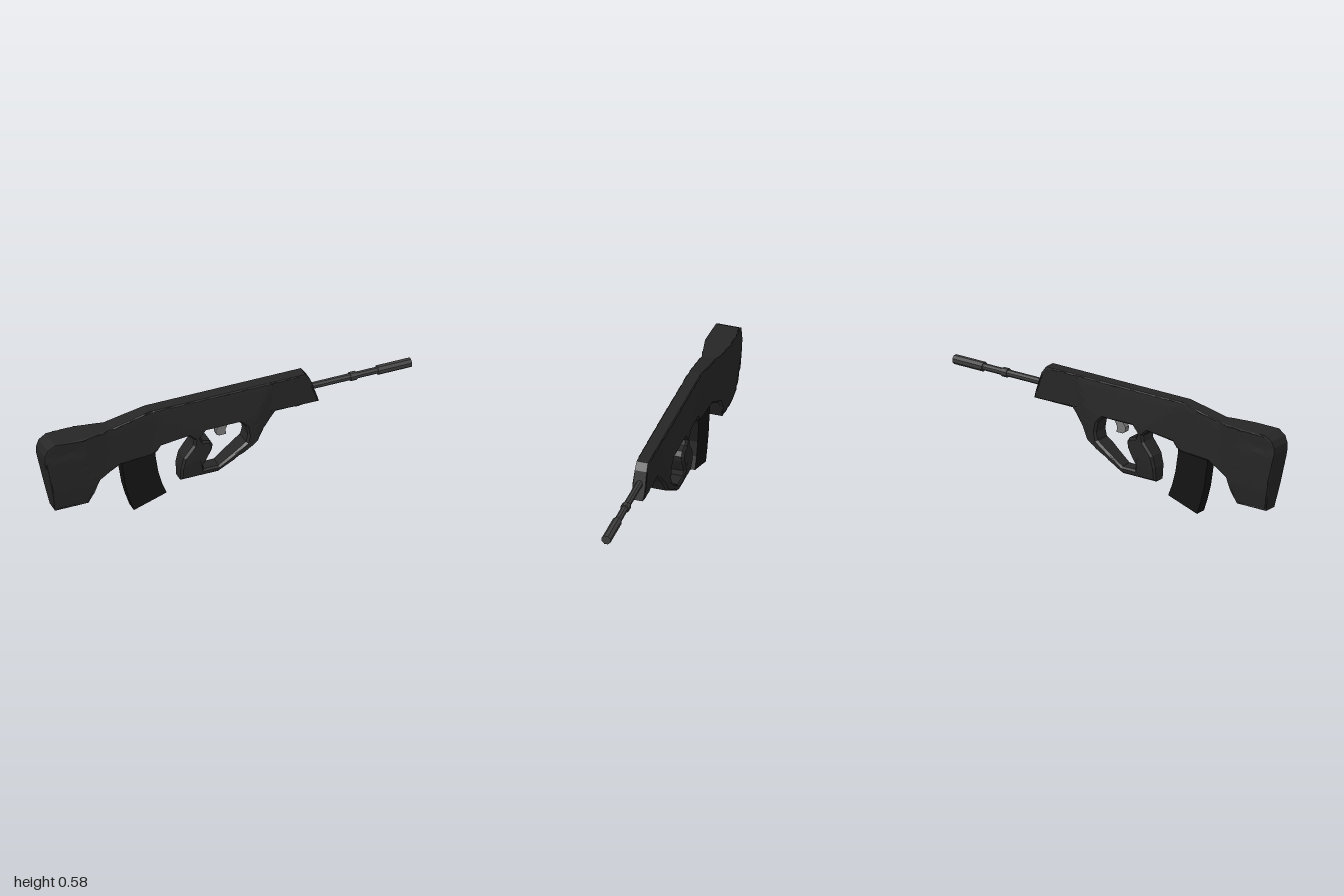
import * as THREE from 'three';

const mat = (color) => new THREE.MeshStandardMaterial({ color, flatShading: true, side: THREE.DoubleSide });
const V2 = (p) => new THREE.Vector2(p[0], p[1]);

// Piecewise linear lookup in [key, value] pairs
function lerpTable(table, t) {
  if (t <= table[0][0]) return table[0][1];
  for (let i = 1; i < table.length; i++) {
    const [a, va] = table[i - 1], [b, vb] = table[i];
    if (t <= b) return va + ((vb - va) * (t - a)) / (b - a);
  }
  return table[table.length - 1][1];
}

// Half thickness of the body along its length, and by height at the stock and in front of it
const ALONG = [[-0.8, 0.063], [-0.65, 0.041], [-0.4, 0.035], [-0.2, 0.051], [0.15, 0.051], [0.24, 0.031], [0.495, 0.033]];
const STOCK = [[0.115, 0.036], [0.225, 0.052], [0.425, 0.063], [0.46, 0.058], [0.53, 0.063]];
const FRONT = [[0.115, 0.036], [0.225, 0.052], [0.4, 0.051], [0.545, 0.036], [0.578, 0.031]];
const halfWidth = (x, y) => Math.min(lerpTable(ALONG, x), lerpTable(x < -0.65 ? STOCK : FRONT, y));

// Split every edge longer than the limit (measured in the xy plane) at its midpoint
function subdivide(geometry, limit) {
  const p = geometry.toNonIndexed().attributes.position, stack = [], out = [];
  const vert = (i) => new THREE.Vector3().fromBufferAttribute(p, i);
  for (let i = 0; i < p.count; i += 3) stack.push([vert(i), vert(i + 1), vert(i + 2)]);
  const length = (a, b) => Math.hypot(a.x - b.x, a.y - b.y);
  while (stack.length) {
    const t = stack.pop();
    const d = [0, 1, 2].map((i) => length(t[i], t[(i + 1) % 3]));
    const k = d.indexOf(Math.max(...d));
    if (d[k] <= limit) {
      t.forEach((v) => out.push(v.x, v.y, v.z));
      continue;
    }
    const a = t[k], b = t[(k + 1) % 3], c = t[(k + 2) % 3];
    const m = a.clone().add(b).multiplyScalar(0.5);
    stack.push([a, m, c], [m, b, c]);
  }
  const g = new THREE.BufferGeometry();
  g.setAttribute('position', new THREE.Float32BufferAttribute(out, 3));
  return g;
}

// Stock, grip and guard in one outline, shaped to the half thickness
function bodyGeometry() {
  const shape = new THREE.Shape([
    [-1, 0.435], [-0.935, 0.115], [-0.755, 0.115], [-0.69, 0.24], [-0.58, 0.3], [-0.41, 0.31], [-0.38, 0.325],
    [-0.36, 0.355], [-0.215, 0.378], [-0.185, 0.35], [-0.19, 0.315], [-0.24, 0.25], [-0.255, 0.19],
    [-0.255, 0.115], [-0.05, 0.115], [0.16, 0.25], [0.195, 0.315], [0.26, 0.395], [0.495, 0.395],
    [0.447, 0.54], [0.42, 0.578], [-0.425, 0.578], [-0.645, 0.53], [-0.945, 0.53], [-0.985, 0.505], [-1, 0.47],
  ].map(V2));
  shape.holes.push(new THREE.Path([
    [-0.12, 0.39], [0.06, 0.39], [0.095, 0.355], [0.105, 0.3], [0.095, 0.26], [-0.05, 0.152], [-0.13, 0.152],
    [-0.135, 0.18], [-0.09, 0.265], [-0.085, 0.295], [-0.1, 0.32], [-0.14, 0.33], [-0.15, 0.355],
  ].map(V2)));
  const raw = new THREE.ExtrudeGeometry(shape, {
    depth: 1.5, bevelThickness: 0.25, bevelSize: 0.01, bevelOffset: -0.01, bevelSegments: 1,
  }).translate(0, 0, -0.75);
  const g = subdivide(raw, 0.05);
  const p = g.attributes.position;
  for (let i = 0; i < p.count; i++) {
    const x = p.getX(i), y = p.getY(i), z = p.getZ(i);
    // The rim is chamfered only around the grip and underside
    const rim = x > -0.72 && y < 0.4 ? 0.75 : 0.96;
    const level = Math.abs(z) > 0.9 ? Math.sign(z) : (z / 0.75) * rim;
    p.setZ(i, level * halfWidth(x, y));
  }
  g.computeVertexNormals();
  return g;
}

// Flat plate centred on z = 0
function plate(points, depth) {
  return new THREE.ExtrudeGeometry(new THREE.Shape(points.map(V2)), { depth, bevelEnabled: false })
    .translate(0, 0, -depth / 2);
}

export function createModel() {
  const model = new THREE.Group();
  const add = (name, geometry, material, parent = model) => {
    const mesh = new THREE.Mesh(geometry, material);
    mesh.name = name;
    parent.add(mesh);
    return mesh;
  };

  add('body', bodyGeometry(), mat(0x262626));

  // Curved magazine
  add('magazine', plate([
    [-0.575, 0.34], [-0.572, 0.29], [-0.55, 0.145], [-0.53, 0.07], [-0.507, 0],
    [-0.33, 0.06], [-0.355, 0.125], [-0.375, 0.2], [-0.39, 0.3], [-0.39, 0.34],
  ], 0.06), mat(0x131313));

  // Trigger hanging into the guard opening
  add('trigger', plate([
    [-0.045, 0.41], [-0.045, 0.375], [-0.057, 0.355], [-0.055, 0.33], [-0.04, 0.32],
    [-0.003, 0.32], [-0.005, 0.35], [0.01, 0.385], [0.015, 0.41],
  ], 0.03), mat(0x777777));

  // Barrel: eight-sided sections along x
  const barrel = new THREE.Group();
  barrel.name = 'barrel';
  model.add(barrel);
  const steel = mat(0x3c3c3c);
  for (const [name, x0, x1, r] of [
    ['barrelTube', 0.42, 0.84, 0.018], ['barrelCollar', 0.672, 0.705, 0.024], ['muzzle', 0.82, 1, 0.025],
  ]) {
    const g = new THREE.CylinderGeometry(r, r, x1 - x0, 8).rotateY(Math.PI / 8).rotateZ(-Math.PI / 2);
    add(name, g.translate((x0 + x1) / 2, 0.477, 0), steel, barrel);
  }
  return model;
}
